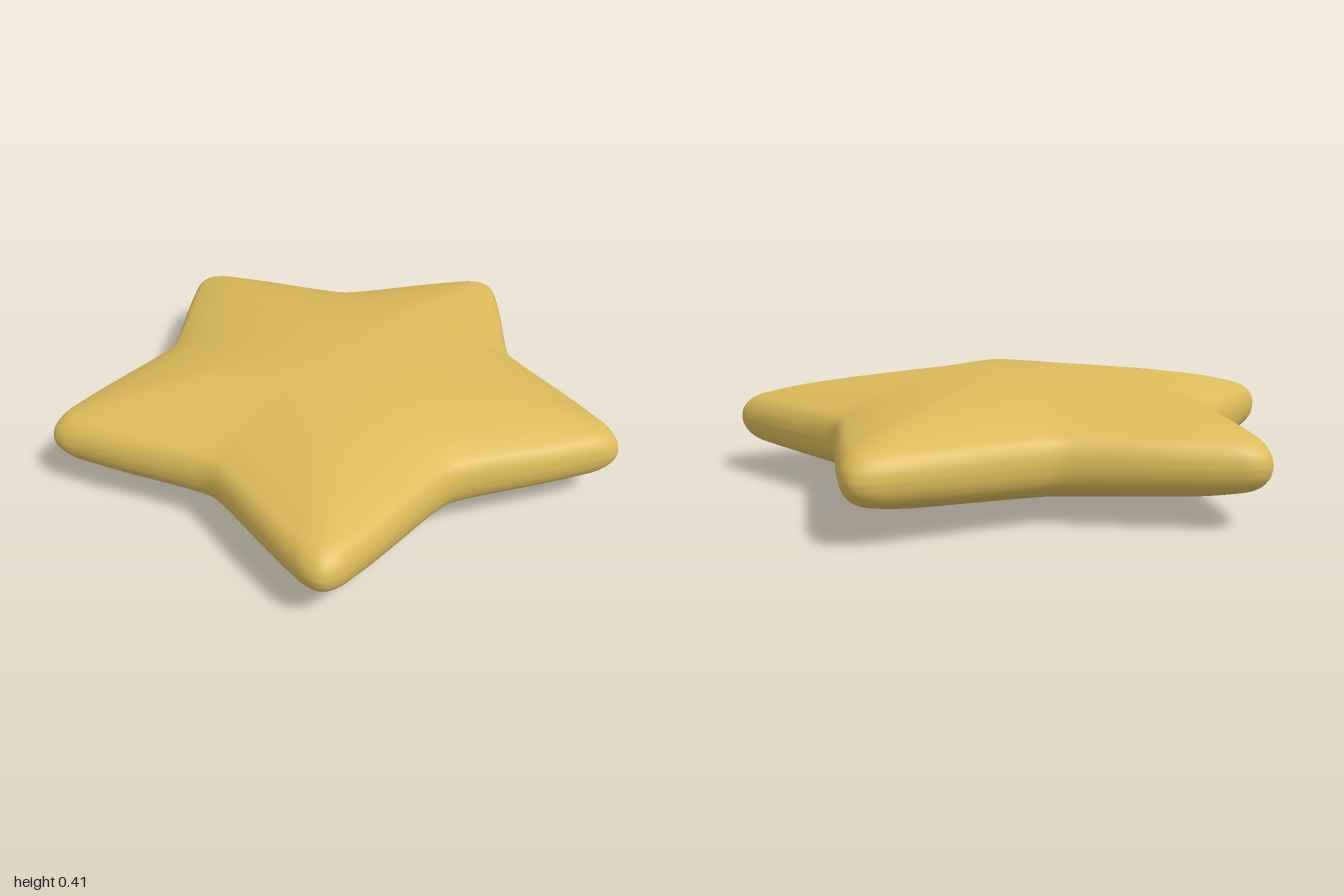
import * as THREE from 'three';

// Half of one arm as [sideways, outward], from tip to the valley beside it
const HALF_ARM = [[0, 1.048], [0.05, 1.026], [0.105, 0.965], [0.2, 0.845], [0.3, 0.708], [0.355, 0.636], [0.415, 0.571]];

// Half thickness as [fraction of the way to the rim, height]
const PROFILE = [[0, 0.205], [0.2, 0.2], [0.4, 0.184], [0.6, 0.159], [0.8, 0.123], [0.92, 0.09], [0.967, 0.068], [0.993, 0.034], [1, 0]];

const CENTRE_Y = 0.207, CENTRE_Z = -0.097, MEAN_RADIUS = 0.82;

// Closed star outline: the mirrored half arm repeated five times
function starOutline(samples) {
  const left = HALF_ARM.slice(1, -1).reverse().map(([v, u]) => [-v, u]);
  const arm = [...left, ...HALF_ARM];
  const points = [];
  for (let k = 0; k < 5; k++) {
    const a = (k * Math.PI * 2) / 5, s = Math.sin(a), c = Math.cos(a);
    for (const [v, u] of arm) points.push(new THREE.Vector3(u * s + v * c, 0, u * c - v * s));
  }
  return new THREE.CatmullRomCurve3(points, true, 'centripetal').getPoints(samples).slice(0, samples);
}

// Pillow of rings: round near the middle, star-shaped at the rim
function pillowStar() {
  const samples = 240, steps = 32;
  const outline = starOutline(samples);
  const curve = new THREE.SplineCurve(PROFILE.map(([t, h]) => new THREE.Vector2(t, h)));
  const upper = curve.getPoints(steps).slice(1);
  const lower = upper.slice(0, -1).reverse().map((p) => new THREE.Vector2(p.x, -p.y));
  const rings = [...upper, ...lower];

  const positions = [0, CENTRE_Y + PROFILE[0][1], CENTRE_Z];
  for (const { x, y } of rings) {
    const t = Math.min(x, 1);
    for (const p of outline) {
      const r = p.length();
      const scale = (t * THREE.MathUtils.lerp(MEAN_RADIUS, r, t)) / r;
      positions.push(p.x * scale, CENTRE_Y + y, CENTRE_Z + p.z * scale);
    }
  }
  positions.push(0, CENTRE_Y - PROFILE[0][1], CENTRE_Z);

  const index = [];
  const last = 1 + rings.length * samples;
  const at = (k, i) => 1 + k * samples + (i % samples);
  for (let i = 0; i < samples; i++) {
    index.push(0, at(0, i), at(0, i + 1));
    for (let k = 0; k < rings.length - 1; k++) {
      const a = at(k, i), b = at(k, i + 1), c = at(k + 1, i), d = at(k + 1, i + 1);
      index.push(a, c, d, a, d, b);
    }
    index.push(at(rings.length - 1, i), last, at(rings.length - 1, i + 1));
  }

  const geometry = new THREE.BufferGeometry();
  geometry.setAttribute('position', new THREE.Float32BufferAttribute(positions, 3));
  geometry.setIndex(index);
  geometry.computeVertexNormals();
  return geometry;
}

export function createModel() {
  const group = new THREE.Group();
  group.name = 'star';
  const gold = new THREE.MeshStandardMaterial({ color: 0xdcba5a });
  gold.name = 'gold';
  const body = new THREE.Mesh(pillowStar(), gold);
  body.name = 'starBody';
  group.add(body);
  return group;
}
